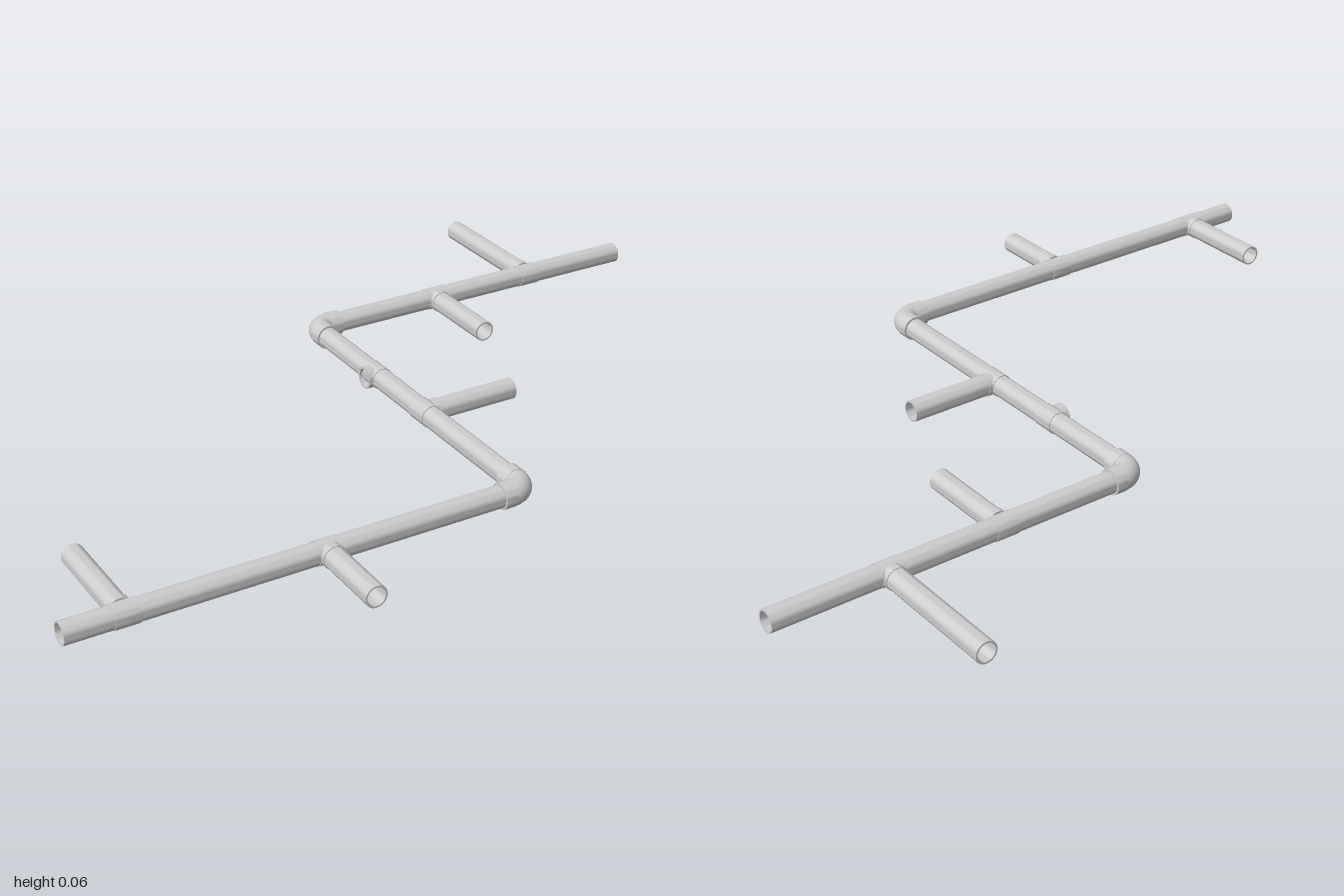
import * as THREE from 'three';
import { toCreasedNormals } from 'three/addons/utils/BufferGeometryUtils.js';

const PIPE = 0.0255, TEE = 0.0272, FIT = 0.0305, BORE = 0.0215, AXIS_Y = 0.0325;
const material = new THREE.MeshStandardMaterial({ color: 0xcccccc, side: THREE.DoubleSide });

// Hollow tube between two [x, z] points
function tube(name, [x0, z0], [x1, z1], radius, bore = BORE) {
  const ring = new THREE.Shape().absarc(0, 0, radius, 0, Math.PI * 2, false);
  ring.holes.push(new THREE.Path().absarc(0, 0, bore, 0, Math.PI * 2, true));
  const geometry = new THREE.ExtrudeGeometry(ring, {
    depth: Math.hypot(x1 - x0, z1 - z0), bevelEnabled: false, curveSegments: 14,
  });
  const mesh = new THREE.Mesh(toCreasedNormals(geometry, 0.6), material);
  mesh.name = name;
  mesh.position.set(x0, 0, z0);
  mesh.rotation.y = Math.atan2(x1 - x0, z1 - z0);
  return mesh;
}

// Tee fitting with its run along local x and its outlet along local +z
function tee(branchEnd) {
  const group = new THREE.Group();
  group.name = 'teeBranch';
  group.add(
    tube('teeSleeve', [-0.028, 0], [0.028, 0], TEE),
    tube('teeOutlet', [0, 0.015], [0, 0.034], TEE),
  );
  if (branchEnd) group.add(tube('branchPipe', [0, 0.02], [0, branchEnd], PIPE));
  return group;
}

// Right-angle elbow with its corner at the origin, arms toward -x and -z
function elbow() {
  const group = new THREE.Group();
  const bend = 0.035, end = 0.065;
  group.name = 'elbow';
  const curve = new THREE.Mesh(
    new THREE.TorusGeometry(bend, FIT - 0.001, 28, 14, Math.PI / 2).rotateX(Math.PI / 2), material);
  curve.name = 'elbowBend';
  curve.position.set(-bend, 0, -bend);
  group.add(curve,
    tube('elbowCollarX', [-bend, 0], [-end, 0], FIT),
    tube('elbowCollarZ', [0, -bend], [0, -end], FIT));
  return group;
}

export function createModel() {
  const model = new THREE.Group();
  model.name = 'pipeRun';
  const pipes = new THREE.Group();
  pipes.name = 'pipework';
  pipes.position.y = AXIS_Y;
  model.add(pipes);

  const midX = 0.08, frontZ = 0.53, backZ = -0.393;

  // Main pipes
  pipes.add(
    tube('frontPipe', [-1, frontZ], [midX - 0.035, frontZ], PIPE),
    tube('middlePipe', [midX, backZ + 0.035], [midX, frontZ - 0.035], PIPE),
    tube('backPipe', [midX + 0.035, backZ], [1, backZ], PIPE),
  );

  // Corner elbows
  for (const [z, turn] of [[frontZ, 0], [backZ, Math.PI]]) {
    const corner = elbow();
    corner.position.set(midX, 0, z);
    corner.rotation.y = turn;
    pipes.add(corner);
  }

  // Tees: x, z, outlet heading about y, branch end (0 = bare outlet)
  const tees = [
    [-0.865, frontZ, Math.PI, 0.25],
    [-0.41, frontZ, 0, 0.2],
    [midX, 0.125, Math.PI / 2, 0.237],
    [midX, -0.095, -Math.PI / 2, 0],
    [0.432, backZ, 0, 0.233],
    [0.715, backZ, Math.PI, 0.342],
  ];
  for (const [x, z, heading, branchEnd] of tees) {
    const fitting = tee(branchEnd);
    fitting.position.set(x, 0, z);
    fitting.rotation.y = heading;
    pipes.add(fitting);
  }
  return model;
}
